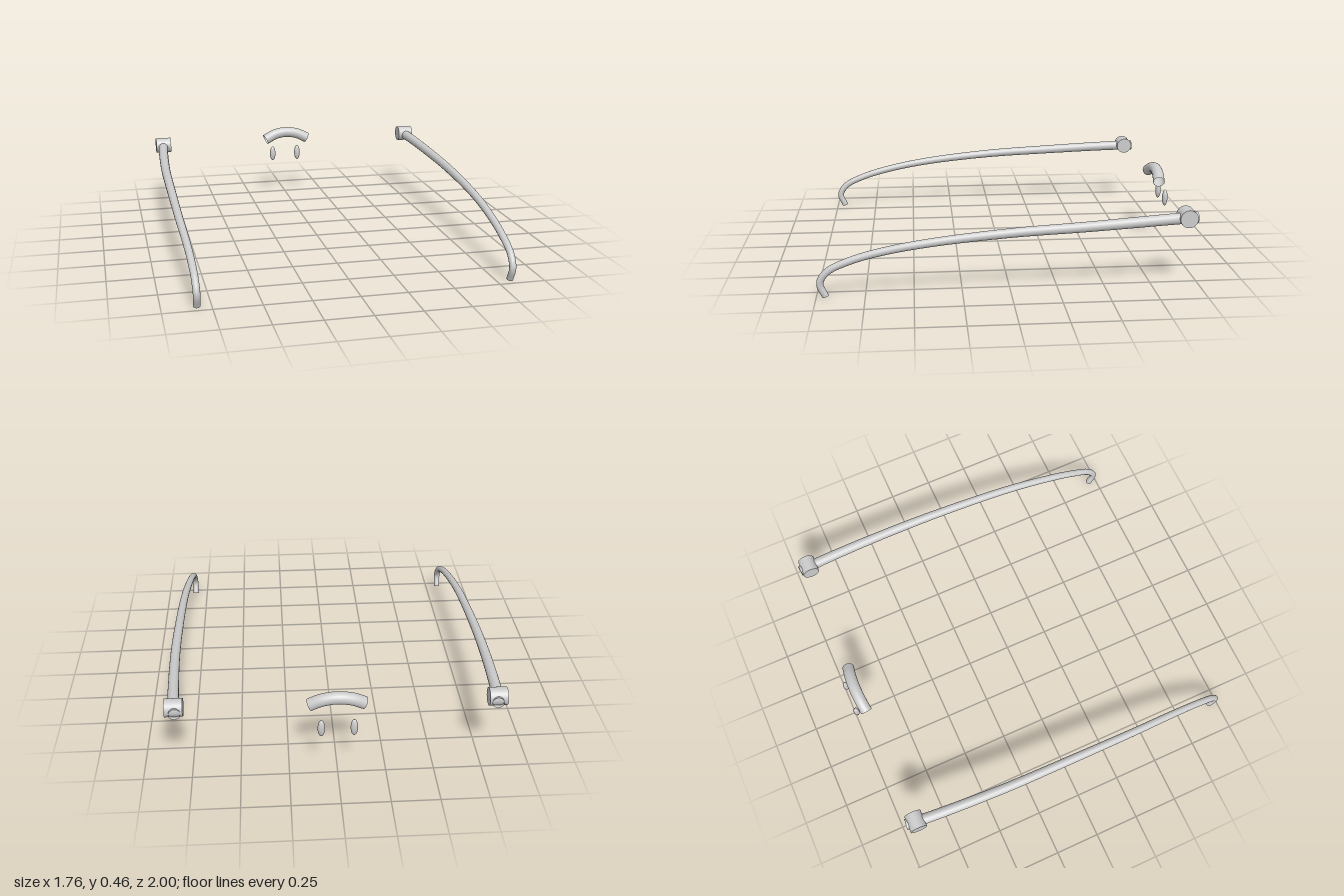
import * as THREE from 'three';

const material = new THREE.MeshStandardMaterial({ color: 0xcccccc, side: THREE.DoubleSide });

// Open tube along a smooth path, tapering from radius r0 to r1
function taperedTube(points, r0, r1, segments, sides) {
  const curve = new THREE.CatmullRomCurve3(points.map(p => new THREE.Vector3(...p)));
  const geometry = new THREE.TubeGeometry(curve, segments, 1, sides, false);
  const pos = geometry.attributes.position;
  const v = new THREE.Vector3();
  for (let i = 0; i <= segments; i++) {
    const centre = curve.getPointAt(i / segments);
    const radius = THREE.MathUtils.lerp(r0, r1, i / segments);
    for (let j = 0; j <= sides; j++) {
      const k = i * (sides + 1) + j;
      v.fromBufferAttribute(pos, k).sub(centre).multiplyScalar(radius).add(centre);
      pos.setXYZ(k, v.x, v.y, v.z);
    }
  }
  return geometry;
}

export function createModel() {
  const group = new THREE.Group();
  const add = (name, geometry, x = 0, y = 0, z = 0) => {
    const mesh = new THREE.Mesh(geometry, material);
    mesh.name = name;
    mesh.position.set(x, y, z);
    group.add(mesh);
    return mesh;
  };

  // Arched bridge over the nose
  add('bridge', taperedTube([
    [-0.141, 0.39, -0.93], [-0.075, 0.421, -0.938], [0, 0.433, -0.941],
    [0.075, 0.421, -0.938], [0.141, 0.39, -0.93],
  ], 0.033, 0.033, 32, 24));

  // Temple arm: gently bowed outwards, hooking down behind the ear
  const arm = [
    [0.816, 0.386, -0.97], [0.829, 0.383, -0.85], [0.851, 0.36, -0.4],
    [0.853, 0.338, 0], [0.848, 0.297, 0.4], [0.838, 0.253, 0.65],
    [0.831, 0.205, 0.82], [0.827, 0.147, 0.94], [0.825, 0.085, 0.979],
    [0.824, 0.014, 0.952],
  ];

  for (const [side, s] of [['left', 1], ['right', -1]]) {
    add(side + 'Temple', taperedTube(arm.map(([x, y, z]) => [s * x, y, z]), 0.03, 0.018, 96, 20));

    // Hinge barrel lying across the front of the arm
    add(side + 'Hinge', new THREE.CylinderGeometry(0.047, 0.047, 0.094, 32),
      s * 0.823, 0.391, -0.915).rotation.z = Math.PI / 2;

    // Nose pad
    add(side + 'NosePad', new THREE.SphereGeometry(1, 24, 16),
      s * 0.084, 0.279, -0.984).scale.set(0.019, 0.048, 0.016);
  }
  return group;
}
